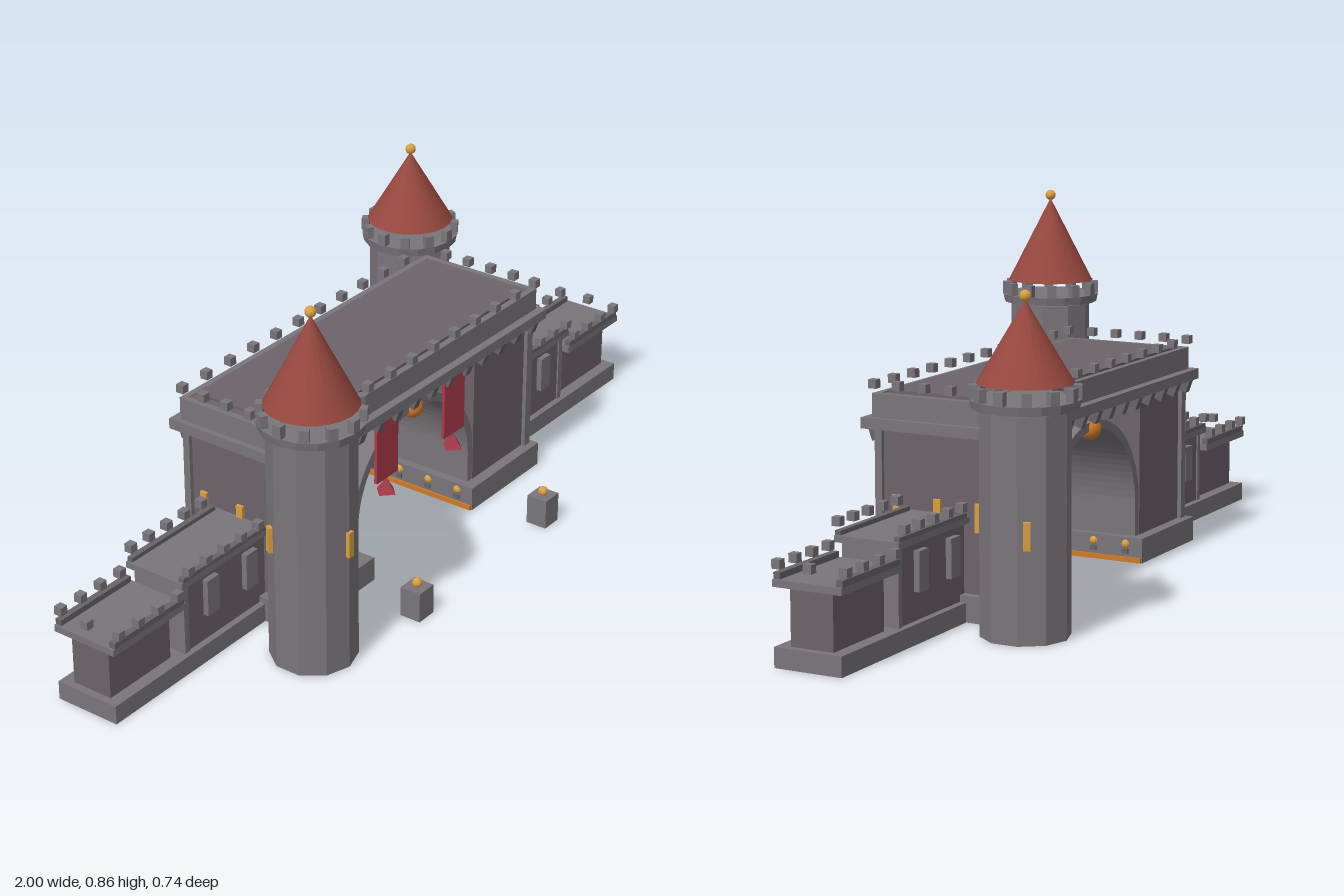
import * as THREE from 'three';

const mat = (color, flatShading = true) => new THREE.MeshStandardMaterial({ color, flatShading });
const STONE = mat(0x7a757b), WALL = mat(0x6c626b), TRIM = mat(0x68646a);
const ROOF = mat(0x97483f, false), GOLD = mat(0xd9a040), LAMP = mat(0xd07a28, false), CLOTH = mat(0xa83a48);

function add(parent, name, geometry, material, x = 0, y = 0, z = 0) {
  const mesh = new THREE.Mesh(geometry, material);
  mesh.name = name;
  mesh.position.set(x, y, z);
  parent.add(mesh);
  return mesh;
}

// Box given by its ranges along x, y and z
function block(parent, name, material, [x0, x1], [y0, y1], [z0, z1]) {
  return add(parent, name, new THREE.BoxGeometry(x1 - x0, y1 - y0, z1 - z0), material,
    (x0 + x1) / 2, (y0 + y1) / 2, (z0 + z1) / 2);
}

// Evenly spaced values, both ends included
const spread = (a, b, n) => Array.from({ length: n }, (_, i) => a + (b - a) * i / (n - 1));

function merlon(parent, x, y, z, s = 0.02) {
  return add(parent, 'merlon', new THREE.BoxGeometry(s, s, s), STONE, x, y, z);
}

// Ten-sided tower with a battlement ring and a cone roof
function tower(name, x, z, height, roofHeight) {
  const g = new THREE.Group();
  g.name = name;
  g.position.set(x, 0, z);
  add(g, 'towerShaft', new THREE.CylinderGeometry(0.1, 0.1, height, 10), STONE, 0, height / 2);
  add(g, 'towerRing', new THREE.CylinderGeometry(0.121, 0.117, 0.02, 16), STONE, 0, height + 0.014);
  for (let i = 0; i < 12; i++) {
    const a = i * Math.PI / 6;
    const m = add(g, 'towerMerlon', new THREE.BoxGeometry(0.022, 0.03, 0.018), STONE,
      Math.sin(a) * 0.112, height + 0.039, Math.cos(a) * 0.112);
    m.rotation.y = a;
  }
  const base = height + 0.058;
  add(g, 'towerRoof', new THREE.ConeGeometry(0.106, roofHeight, 24), ROOF, 0, base + roofHeight / 2);
  add(g, 'finial', new THREE.SphereGeometry(0.013, 10, 8), GOLD, 0, base + roofHeight + 0.008);
  for (let i = 0; i < 3; i++) {
    const a = i * Math.PI * 2 / 3;
    const w = add(g, 'towerWindow', new THREE.BoxGeometry(0.016, 0.062, 0.012), GOLD,
      Math.sin(a) * 0.1, height - 0.255, Math.cos(a) * 0.1);
    w.rotation.y = a;
  }
  return g;
}

// One side of the gate and its low wall; s is +1 or -1 along x
function side(s) {
  const g = new THREE.Group();
  g.name = s > 0 ? 'leftSide' : 'rightSide';
  const bx = (name, material, [a, b], y, z) =>
    block(g, name, material, s > 0 ? [a, b] : [-b, -a], y, z);

  // Pier
  bx('pierPlinth', STONE, [0.2, 0.49], [0, 0.06], [-0.175, 0.175]);
  bx('pier', WALL, [0.24, 0.468], [0.06, 0.41], [-0.147, 0.147]);
  for (const z of [-0.148, 0.148])
    bx('cornerPost', STONE, [0.455, 0.478], [0.06, 0.41], [z - 0.009, z + 0.009]);
  for (const z of [-0.105, 0, 0.105])
    bx('pierWindow', GOLD, [0.464, 0.476], [0.2, 0.265], [z - 0.009, z + 0.009]);

  // Lights along the passage
  bx('lightStrip', LAMP, [0.195, 0.201], [0, 0.012], [-0.172, 0.172]);
  for (const z of spread(-0.13, 0.13, 4)) {
    bx('lightBracket', TRIM, [0.195, 0.225], [0.02, 0.032], [z - 0.008, z + 0.008]);
    add(g, 'passageLight', new THREE.SphereGeometry(0.012, 10, 8), GOLD, s * 0.205, 0.043, z);
  }

  // Low wall in two steps
  bx('wallPlinth', STONE, [0.48, 1], [0, 0.045], [-0.082, 0.082]);
  bx('innerWall', WALL, [0.47, 0.75], [0.045, 0.22], [-0.066, 0.066]);
  bx('innerWallCap', STONE, [0.47, 0.77], [0.22, 0.235], [-0.08, 0.08]);
  bx('outerWall', WALL, [0.785, 0.982], [0.045, 0.168], [-0.052, 0.052]);
  bx('outerWallCap', STONE, [0.765, 1], [0.172, 0.188], [-0.084, 0.084]);
  bx('wallPost', STONE, [0.74, 0.755], [0.045, 0.22], [-0.07, 0.07]);
  for (const z of [-1, 1]) {
    for (const x of [0.53, 0.665])
      bx('wallNiche', STONE, [x - 0.02, x + 0.02], [0.11, 0.2], z > 0 ? [0.062, 0.08] : [-0.08, -0.062]);
    bx('innerParapet', TRIM, [0.48, 0.765], [0.235, 0.245], z > 0 ? [0.066, 0.08] : [-0.08, -0.066]);
    bx('outerParapet', TRIM, [0.77, 0.995], [0.188, 0.202], z > 0 ? [0.068, 0.084] : [-0.084, -0.068]);
    for (const x of spread(0.51, 0.75, 5)) merlon(g, s * x, 0.262, z * 0.082);
    for (const x of spread(0.79, 0.98, 4)) merlon(g, s * x, 0.217, z * 0.082);
  }
  merlon(g, s * 0.988, 0.217, 0);

  // Hanging banner with a tassel
  bx('banner', CLOTH, [0.093, 0.175], [0.24, 0.415], [0.156, 0.164]);
  add(g, 'bannerTassel', new THREE.ConeGeometry(0.027, 0.037, 4), CLOTH, s * 0.134, 0.22, 0.16);

  // Free-standing lantern
  bx('lanternBlock', STONE, [0.233, 0.287], [0, 0.074], [0.313, 0.367]);
  add(g, 'lanternLight', new THREE.SphereGeometry(0.012, 10, 8), GOLD, s * 0.26, 0.083, 0.34);
  return g;
}

// Thin barrel arch between the piers
function arch() {
  const R = 0.243, r = 0.222, yc = 0.135, foot = 0.055;
  const shape = new THREE.Shape();
  shape.moveTo(R, foot);
  shape.lineTo(R, yc);
  shape.absarc(0, yc, R, 0, Math.PI, false);
  shape.lineTo(-R, foot);
  shape.lineTo(-r, foot);
  shape.lineTo(-r, yc);
  shape.absarc(0, yc, r, Math.PI, 0, true);
  shape.lineTo(r, foot);
  const geo = new THREE.ExtrudeGeometry(shape, { depth: 0.29, bevelEnabled: false, curveSegments: 20 });
  return geo.translate(0, 0, -0.145);
}

export function createModel() {
  const model = new THREE.Group();
  model.name = 'castleGate';

  for (const s of [-1, 1]) model.add(side(s));
  add(model, 'arch', arch(), STONE);

  // Upper storey
  block(model, 'cornice', STONE, [-0.49, 0.49], [0.411, 0.436], [-0.186, 0.186]);
  block(model, 'roofDeck', WALL, [-0.46, 0.46], [0.436, 0.488], [-0.15, 0.15]);
  block(model, 'roofPanel', WALL, [-0.44, 0.44], [0.488, 0.494], [-0.145, 0.145]);
  for (const s of [-1, 1]) {
    block(model, 'longParapet', STONE, [-0.475, 0.475], [0.436, 0.49], [s * 0.157 - 0.008, s * 0.157 + 0.008]);
    block(model, 'shortParapet', STONE, [s * 0.468 - 0.008, s * 0.468 + 0.008], [0.436, 0.49], [-0.157, 0.157]);
    for (const x of spread(-0.465, 0.465, 12)) merlon(model, x, 0.51, s * 0.165);
    for (const z of spread(-0.1, 0.1, 4)) merlon(model, s * 0.47, 0.51, z);

    // Slanted brackets under the cornice
    for (const x of spread(-0.455, 0.455, 14)) {
      const b = add(model, 'bracket', new THREE.BoxGeometry(0.02, 0.04, 0.02), TRIM, x, 0.402, s * 0.169);
      b.rotation.x = s * 0.35;
    }
    add(model, 'archLamp', new THREE.SphereGeometry(0.027, 16, 12), LAMP, 0, 0.36, s * 0.135);
  }

  model.add(tower('tallTower', -0.525, 0.248, 0.57, 0.207));
  model.add(tower('shortTower', 0.522, -0.248, 0.495, 0.178));
  return model;
}
